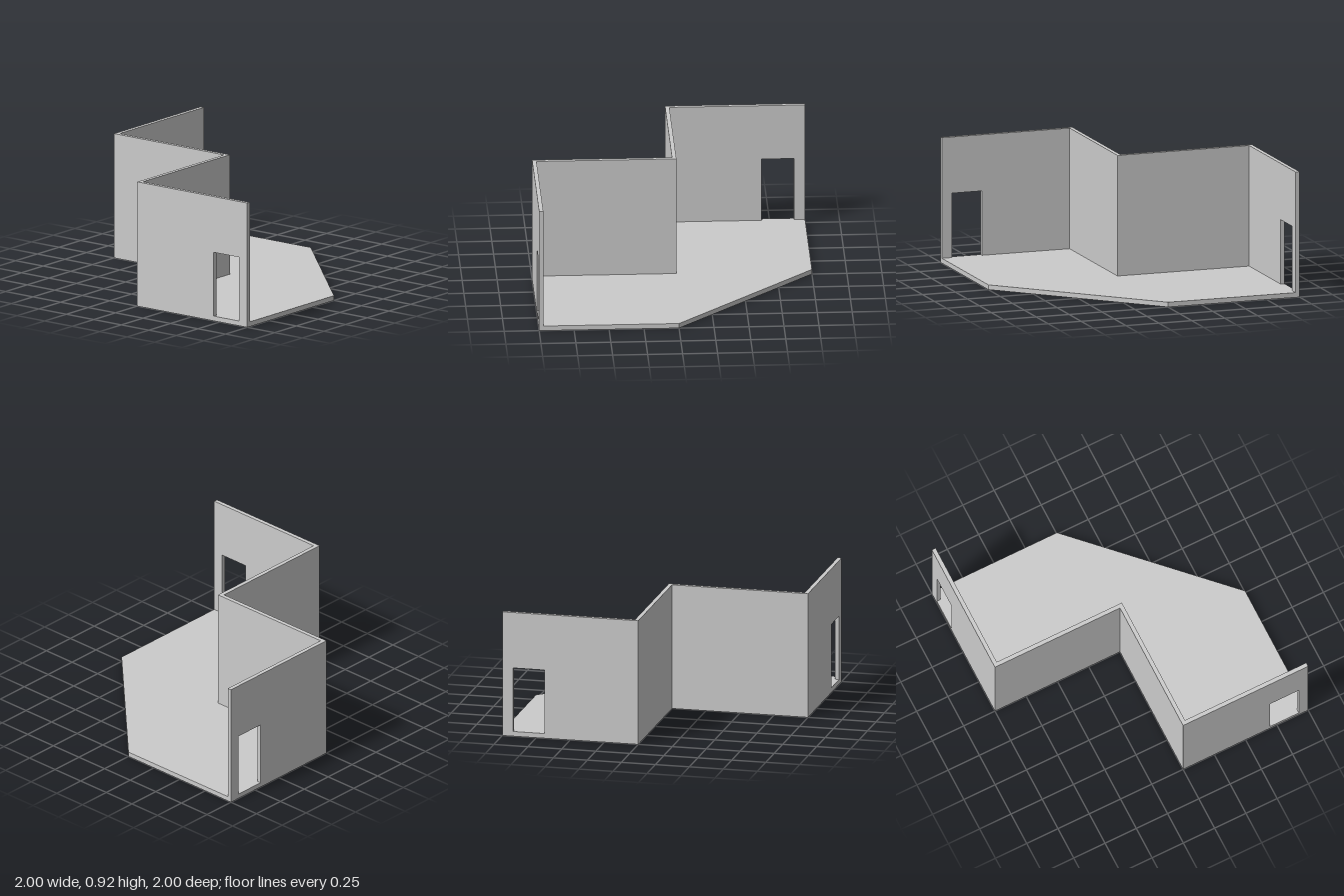
import * as THREE from 'three';

const FLOOR = 0.035, TOP = 0.915, T = 0.03, DOOR_TOP = 0.505;

export function createModel() {
  const group = new THREE.Group();
  const material = new THREE.MeshStandardMaterial({ color: 0xcccccc, flatShading: true });

  const extrude = (points, depth) => new THREE.ExtrudeGeometry(
    new THREE.Shape(points.map(([x, y]) => new THREE.Vector2(x, y))),
    { depth, bevelEnabled: false });

  const add = (name, geometry) => {
    const mesh = new THREE.Mesh(geometry, material);
    mesh.name = name;
    group.add(mesh);
  };

  // Upright prism from a plan given as [x, z] corners
  const prism = (plan, y0, y1) => extrude(plan.map(([x, z]) => [x, -z]), y1 - y0)
    .rotateX(-Math.PI / 2).translate(0, y0, 0);

  // Unit-long wall with a doorway reaching down to the floor
  const doorWall = (d0, d1) => extrude([
    [0, FLOOR], [d0, FLOOR], [d0, DOOR_TOP], [d1, DOOR_TOP], [d1, FLOOR],
    [1, FLOOR], [1, TOP], [0, TOP],
  ], T);

  // Floor slab: square with a notched back corner and a cut front corner
  add('floor', prism([[-1, 0], [0, 0], [0, -1], [1, -1], [1, 0], [0, 1], [-1, 1]], 0, FLOOR));

  // Two walls meeting at the notch
  add('cornerWalls', prism([
    [T - 1, 0], [0, 0], [0, T - 1], [T, T - 1], [T, T], [T - 1, T],
  ], FLOOR, TOP));

  // Outer walls with doorways
  add('backDoorWall', doorWall(0.69, 0.92).translate(0, 0, -1));
  add('sideDoorWall', doorWall(0.695, 0.925).rotateY(-Math.PI / 2).translate(T - 1, 0, 0));

  return group;
}
